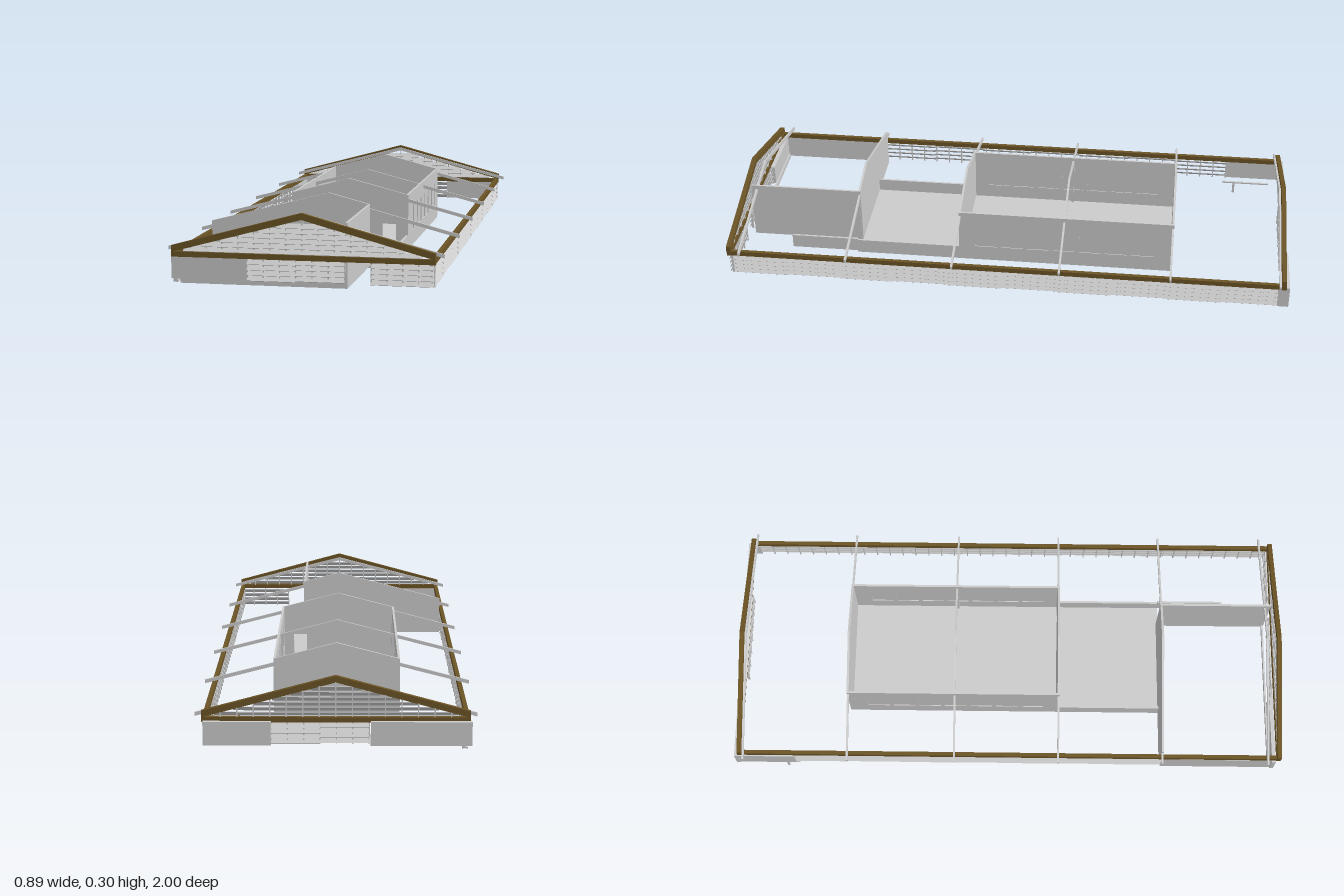
import * as THREE from 'three';

const grey = new THREE.MeshStandardMaterial({ color: 0xcccccc, side: THREE.DoubleSide });
const brown = new THREE.MeshStandardMaterial({ color: 0x6b5426 });

const ROOF_PITCH = 0.26;

// Box given by its minimum and maximum corners
function block(parent, name, [x0, y0, z0], [x1, y1, z1], material = grey) {
  const mesh = new THREE.Mesh(new THREE.BoxGeometry(x1 - x0, y1 - y0, z1 - z0), material);
  mesh.position.set((x0 + x1) / 2, (y0 + y1) / 2, (z0 + z1) / 2);
  mesh.name = name;
  parent.add(mesh);
  return mesh;
}

// Flat outline with optional rectangular holes, extruded along z
function slab(parent, name, points, depth, material = grey, holes = []) {
  const shape = new THREE.Shape(points.map(([x, y]) => new THREE.Vector2(x, y)));
  for (const [x0, y0, x1, y1] of holes) {
    shape.holes.push(new THREE.Path([[x0, y0], [x0, y1], [x1, y1], [x1, y0]].map(([x, y]) => new THREE.Vector2(x, y))));
  }
  const geometry = new THREE.ExtrudeGeometry(shape, { depth, bevelEnabled: false });
  geometry.translate(0, 0, -depth / 2);
  const mesh = new THREE.Mesh(geometry, material);
  mesh.name = name;
  parent.add(mesh);
  return mesh;
}

// Chevron following the roof slope on both sides of the ridge
function chevron(parent, name, z, halfWidth, apex, pitch, thickness, depth, material) {
  const end = apex - pitch * halfWidth;
  const mesh = slab(parent, name, [
    [-halfWidth, end - thickness], [0, apex - thickness], [halfWidth, end - thickness],
    [halfWidth, end], [0, apex], [-halfWidth, end],
  ], depth, material);
  mesh.position.z = z;
}

// One tilted louvre blade, lower along its +z edge
function blade(parent, x0, x1, y) {
  const mesh = new THREE.Mesh(new THREE.BoxGeometry(x1 - x0, 0.02, 0.002), grey);
  mesh.position.set((x0 + x1) / 2, y, 0);
  mesh.rotation.x = -Math.PI / 4;
  mesh.name = 'louvreBlade';
  parent.add(mesh);
}

// Louvred wall panel running along local x, facing local +z
function louvrePanel(parent, name, length) {
  const panel = new THREE.Group();
  panel.name = name;
  const bays = Math.max(1, Math.round(length / 0.19));
  const bay = length / bays;
  for (let b = 0; b < bays; b++) {
    const x0 = -length / 2 + b * bay;
    const shift = (b % 2) * 0.003;
    for (let i = 0; i < 4; i++) blade(panel, x0, x0 + bay, 0.076 + shift + i * 0.0175);
  }
  const studs = Math.max(1, Math.round(length / 0.05));
  for (let i = 0; i <= studs; i++) {
    const x = -length / 2 + (i * length) / studs;
    block(panel, 'stud', [x - 0.002, 0.067, -0.008], [x + 0.002, 0.14, -0.001]);
  }
  parent.add(panel);
  return panel;
}

// Louvred gable with brown bargeboards
function gable(parent, name, z) {
  const group = new THREE.Group();
  group.name = name;
  for (let y = 0.166; y < 0.265; y += 0.0165) {
    const half = (0.27 - y) / 0.27;
    blade(group, -half, half, y);
  }
  for (let i = -7; i <= 7; i++) {
    const x = i * 0.052;
    block(group, 'gableStud', [x - 0.002, 0.155, -0.008], [x + 0.002, 0.272 - 0.27 * Math.abs(x), -0.001]);
  }
  chevron(group, 'bargeboard', 0, 0.425, 0.291, 0.27, 0.021, 0.016, brown);
  group.position.z = z;
  parent.add(group);
}

// Cross wall reaching up to the roof slope
function crossWall(parent, name, z, x0, x1, bottom, holes) {
  const top = (x) => 0.297 - ROOF_PITCH * Math.abs(x);
  const mesh = slab(parent, name,
    [[x0, bottom], [x1, bottom], [x1, top(x1)], [0, top(0)], [x0, top(x0)]], 0.008, grey, holes);
  mesh.position.z = z;
}

// Long wall of the inner hall with a row of glazed openings
function windowWall(parent, name, x) {
  const holes = [];
  const wall = new THREE.Group();
  wall.name = name;
  for (let i = 0; i < 7; i++) {
    const a = -0.13 + i * 0.095;
    holes.push([a, 0.1, a + 0.08, 0.19]);
    block(wall, 'pane', [a, 0.1, -0.001], [a + 0.08, 0.19, 0.001]);
  }
  slab(wall, 'wallFrame', [[-0.185, 0.045], [0.585, 0.045], [0.585, 0.242], [-0.185, 0.242]], 0.008, grey, holes);
  wall.rotation.y = Math.PI / 2;
  wall.position.x = x;
  parent.add(wall);
}

export function createModel() {
  const model = new THREE.Group();
  model.name = 'pavilion';

  // Brown ring beam
  for (const s of [-1, 1]) {
    block(model, 'sideBeam', [s * 0.416 - 0.007, 0.14, -0.985], [s * 0.416 + 0.007, 0.157, 0.995], brown);
  }
  block(model, 'frontBeam', [-0.425, 0.14, 0.983], [0.425, 0.157, 0.998], brown);
  block(model, 'backBeam', [-0.425, 0.14, -0.988], [0.425, 0.157, -0.973], brown);

  // Gables
  gable(model, 'frontGable', 0.991);
  gable(model, 'backGable', -0.978);

  // Louvred outer walls: [name, centre x, centre z, turn, length]
  const panels = [
    ['frontLouvreWide', -0.022, 0.985, 0, 0.315],
    ['frontLouvreNarrow', 0.32, 0.985, 0, 0.2],
    ['backLouvre', 0.05, -0.98, Math.PI, 0.31],
    ['leftLouvre', 0.416, 0.01, Math.PI / 2, 1.94],
    ['rightLouvre', -0.416, -0.108, -Math.PI / 2, 1.345],
  ];
  for (const [name, x, z, turn, length] of panels) {
    const panel = louvrePanel(model, name, length);
    panel.position.set(x, 0, z);
    panel.rotation.y = turn;
  }

  // Solid outer walls
  block(model, 'frontSolidWall', [-0.43, 0.067, 0.968], [-0.18, 0.14, 0.982]);
  block(model, 'backSolidWallRight', [-0.43, 0.067, -1], [-0.11, 0.145, -0.986]);
  block(model, 'backSolidWallLeft', [0.205, 0.067, -1], [0.42, 0.145, -0.986]);
  block(model, 'rightSolidWallBack', [-0.428, 0.067, -1], [-0.416, 0.14, -0.78]);
  block(model, 'rightSolidWallFront', [-0.424, 0.055, 0.565], [-0.41, 0.14, 0.98]);
  block(model, 'leftCornerPanel', [0.41, 0.067, -0.995], [0.42, 0.14, -0.96]);

  // Rafters
  for (const z of [0.95, 0.565, 0.185, -0.195, -0.585, -0.965]) {
    chevron(model, 'rafter', z, 0.447, 0.283, ROOF_PITCH, 0.012, 0.007, grey);
  }

  // Inner hall
  block(model, 'hallFloor', [-0.214, 0.043, -0.588], [0.214, 0.049, 0.568]);
  crossWall(model, 'hallBackWall', -0.585, -0.214, 0.214, 0.045);
  crossWall(model, 'hallFrontWall', 0.185, -0.214, 0.214, 0.045, [[0.12, 0.052, 0.17, 0.135]]);
  for (const s of [-1, 1]) {
    windowWall(model, 'hallSideWall', s * 0.21);
    block(model, 'porchWall', [s * 0.21 - 0.004, 0.045, 0.185], [s * 0.21 + 0.004, 0.095, 0.565]);
    block(model, 'hallPost', [s * 0.2 - 0.004, 0.049, -0.199], [s * 0.2 + 0.004, 0.22, -0.191]);
  }

  // Front room
  crossWall(model, 'frontRoomBackWall', 0.565, -0.41, 0.14, 0.05);
  block(model, 'frontRoomSideWall', [0.134, 0.05, 0.565], [0.142, 0.26, 0.97]);
  block(model, 'entranceWall', [0.207, 0.05, 0.565], [0.215, 0.1, 0.81]);
  block(model, 'frontRoomPlinth', [-0.405, 0.05, 0.962], [0.14, 0.068, 0.968]);

  // Small rail on a post by the back corner
  block(model, 'railPost', [-0.42, 0, -0.82], [-0.412, 0.045, -0.812]);
  block(model, 'railBar', [-0.42, 0.042, -0.95], [-0.412, 0.047, -0.77]);

  return model;
}
